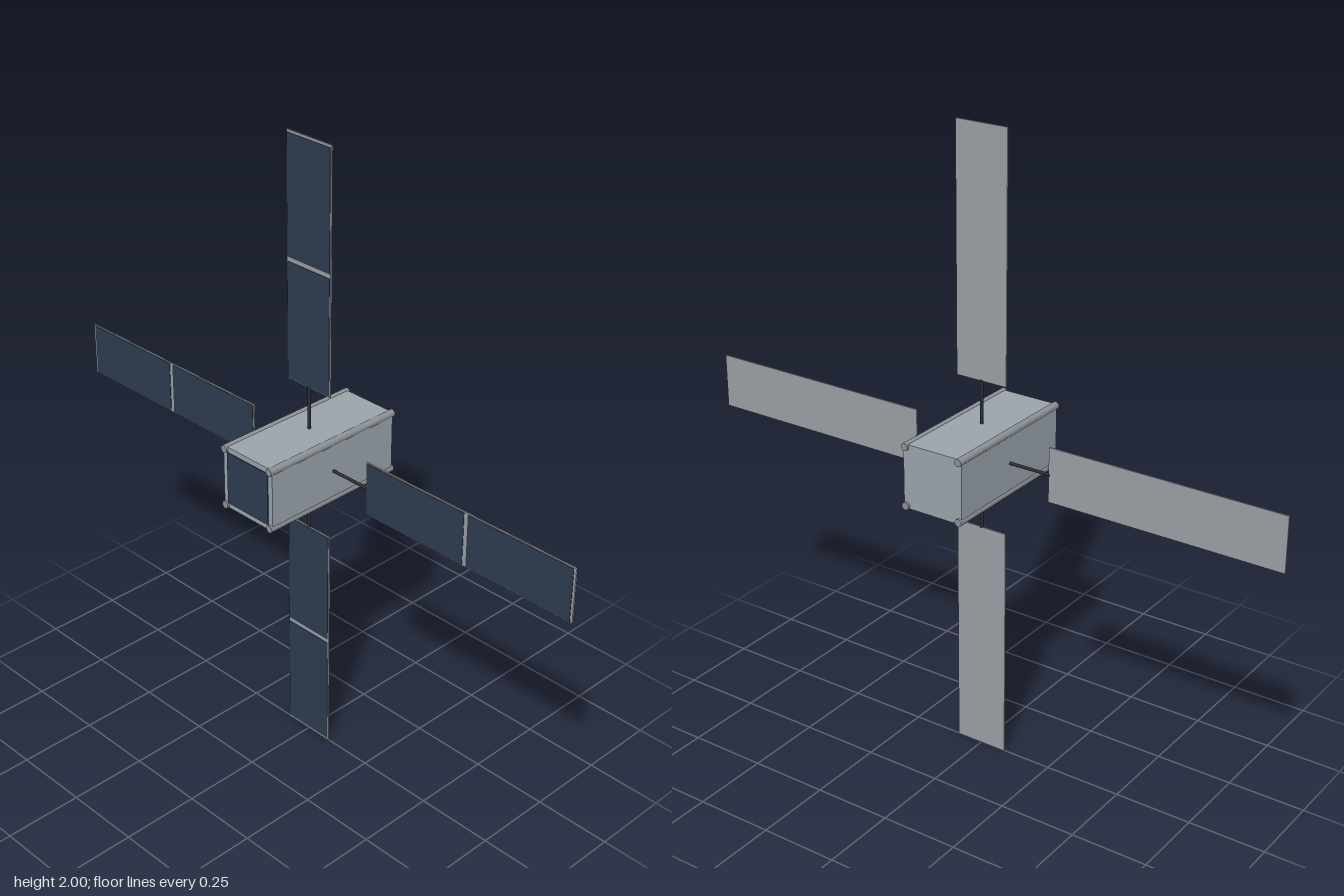
import * as THREE from 'three';

const mat = (name, color) => Object.assign(new THREE.MeshStandardMaterial({ color }), { name });

export function createModel() {
  const hull = mat('hullGrey', 0x9aa3ab);
  const frame = mat('panelGrey', 0x9a9fa4);
  const rail = mat('railGrey', 0x8c9196);
  const cell = mat('cellNavy', 0x2d3b4e);
  const dark = mat('boomDark', 0x2c2d33);

  const model = new THREE.Group();
  model.name = 'satellite';
  const add = (parent, name, geo, material, x = 0, y = 0, z = 0) => {
    const m = new THREE.Mesh(geo, material);
    m.name = name;
    m.position.set(x, y, z);
    parent.add(m);
    return m;
  };

  // Body with a solar plate on its front end
  const body = new THREE.Group();
  body.name = 'body';
  body.position.y = 1;
  model.add(body);
  add(body, 'hull', new THREE.BoxGeometry(0.204, 0.204, 0.49), hull);
  add(body, 'frontCell', new THREE.BoxGeometry(0.17, 0.17, 0.004), cell, 0, 0, 0.246);

  // Round rails along the four long edges
  const railGeo = new THREE.CylinderGeometry(0.012, 0.012, 0.504, 12).rotateX(Math.PI / 2);
  for (const x of [-1, 1]) for (const y of [-1, 1])
    add(body, 'cornerRail', railGeo, rail, x * 0.094, y * 0.094, 0);

  // Four wings, each built along +x and turned about z
  const boomGeo = new THREE.CylinderGeometry(0.005, 0.005, 0.15, 10).rotateZ(Math.PI / 2);
  const panelGeo = new THREE.BoxGeometry(0.763, 0.174, 0.005);
  const cellGeo = new THREE.BoxGeometry(0.369, 0.168, 0.002);
  for (let i = 0; i < 4; i++) {
    const wing = new THREE.Group();
    wing.name = 'solarWing';
    wing.rotation.z = i * Math.PI / 2;
    body.add(wing);
    add(wing, 'boom', boomGeo, dark, 0.165);
    add(wing, 'panel', panelGeo, frame, 0.6185);
    for (const x of [0.425, 0.808]) add(wing, 'solarCell', cellGeo, cell, x, 0, 0.003);
  }
  return model;
}
